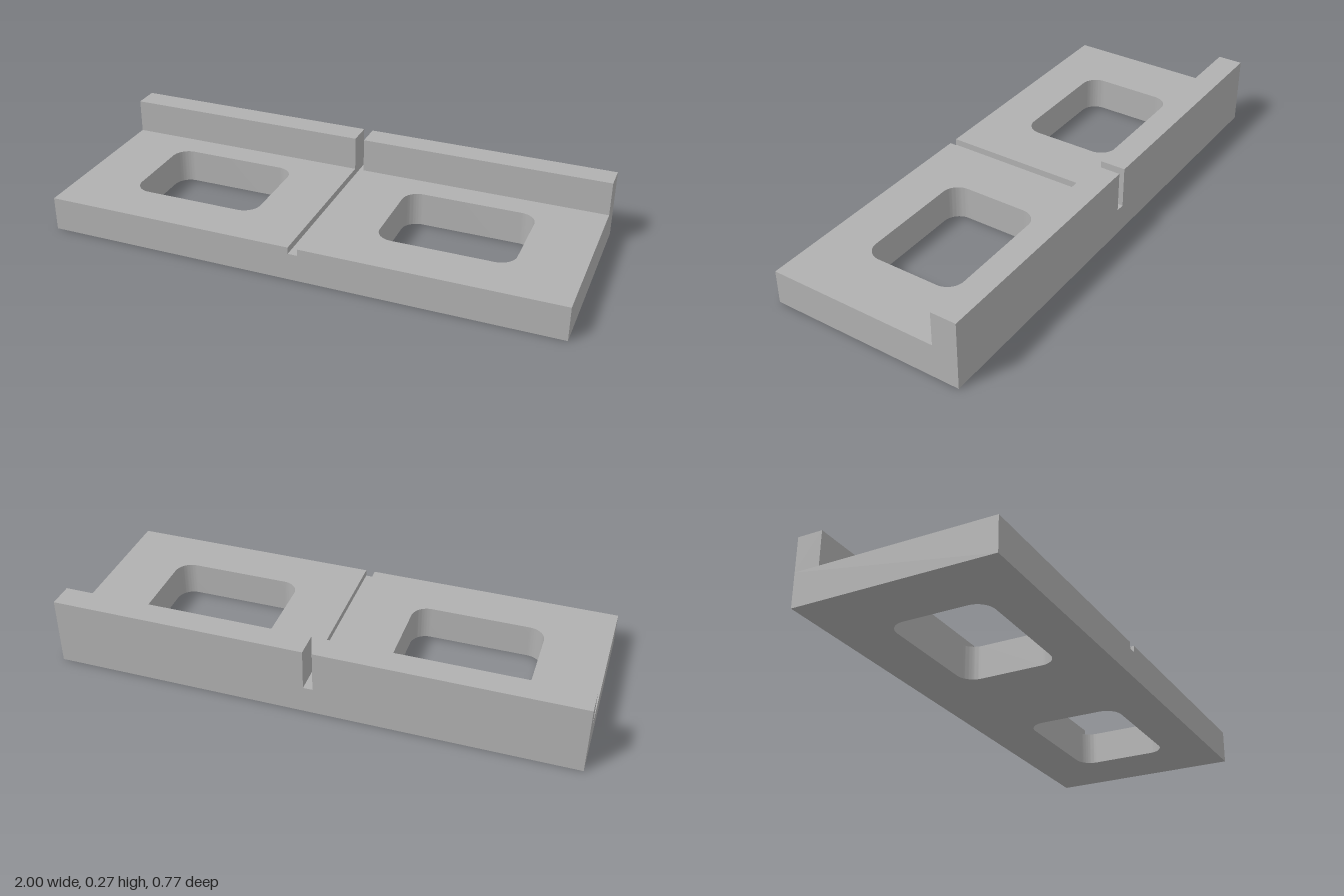
import * as THREE from 'three';
import { toCreasedNormals } from 'three/addons/utils/BufferGeometryUtils.js';

const HALF_X = 1, HALF_Z = 0.383;
const PLATE_H = 0.133, WALL_H = 0.267, WALL_Z = -0.285;
const SLOT = 0.018, SLOT_FLOOR = 0.107;

// Rounded rectangle drawn in plan, with plan y = -z
function roundedRect(x0, x1, y0, y1, r) {
  const p = new THREE.Path();
  p.absarc(x1 - r, y1 - r, r, 0, Math.PI / 2);
  p.absarc(x0 + r, y1 - r, r, Math.PI / 2, Math.PI);
  p.absarc(x0 + r, y0 + r, r, Math.PI, Math.PI * 1.5);
  p.absarc(x1 - r, y0 + r, r, Math.PI * 1.5, Math.PI * 2);
  p.closePath();
  return p;
}

// Half of the base plate with its rounded window
function plateGeometry(side) {
  const [x0, x1] = side > 0 ? [SLOT, HALF_X] : [-HALF_X, -SLOT];
  const shape = new THREE.Shape([
    new THREE.Vector2(x0, -HALF_Z), new THREE.Vector2(x1, -HALF_Z),
    new THREE.Vector2(x1, HALF_Z), new THREE.Vector2(x0, HALF_Z),
  ]);
  const cx = side * 0.4985;
  shape.holes.push(roundedRect(cx - 0.2575, cx + 0.2575, -0.2, 0.18, 0.065));
  const geo = new THREE.ExtrudeGeometry(shape, { depth: PLATE_H, bevelEnabled: false, curveSegments: 10 });
  geo.rotateX(-Math.PI / 2);
  return toCreasedNormals(geo, Math.PI / 6);
}

export function createModel() {
  const group = new THREE.Group();
  const grey = new THREE.MeshStandardMaterial({ color: 0xb0b0b0 });
  grey.name = 'plain grey';

  const add = (name, geo, x = 0, y = 0, z = 0) => {
    const mesh = new THREE.Mesh(geo, grey);
    mesh.name = name;
    mesh.position.set(x, y, z);
    group.add(mesh);
  };

  for (const side of [1, -1]) {
    const label = side > 0 ? 'left' : 'right';
    add(label + 'Plate', plateGeometry(side));
    // Raised back ledge standing on the plate
    add(label + 'BackLedge',
      new THREE.BoxGeometry(HALF_X - SLOT, WALL_H - PLATE_H, WALL_Z + HALF_Z),
      side * (HALF_X + SLOT) / 2, (PLATE_H + WALL_H) / 2, (WALL_Z - HALF_Z) / 2);
  }

  // Floor of the central slot, joining both halves
  add('slotFloor', new THREE.BoxGeometry(SLOT * 2, SLOT_FLOOR, HALF_Z * 2), 0, SLOT_FLOOR / 2, 0);
  return group;
}
